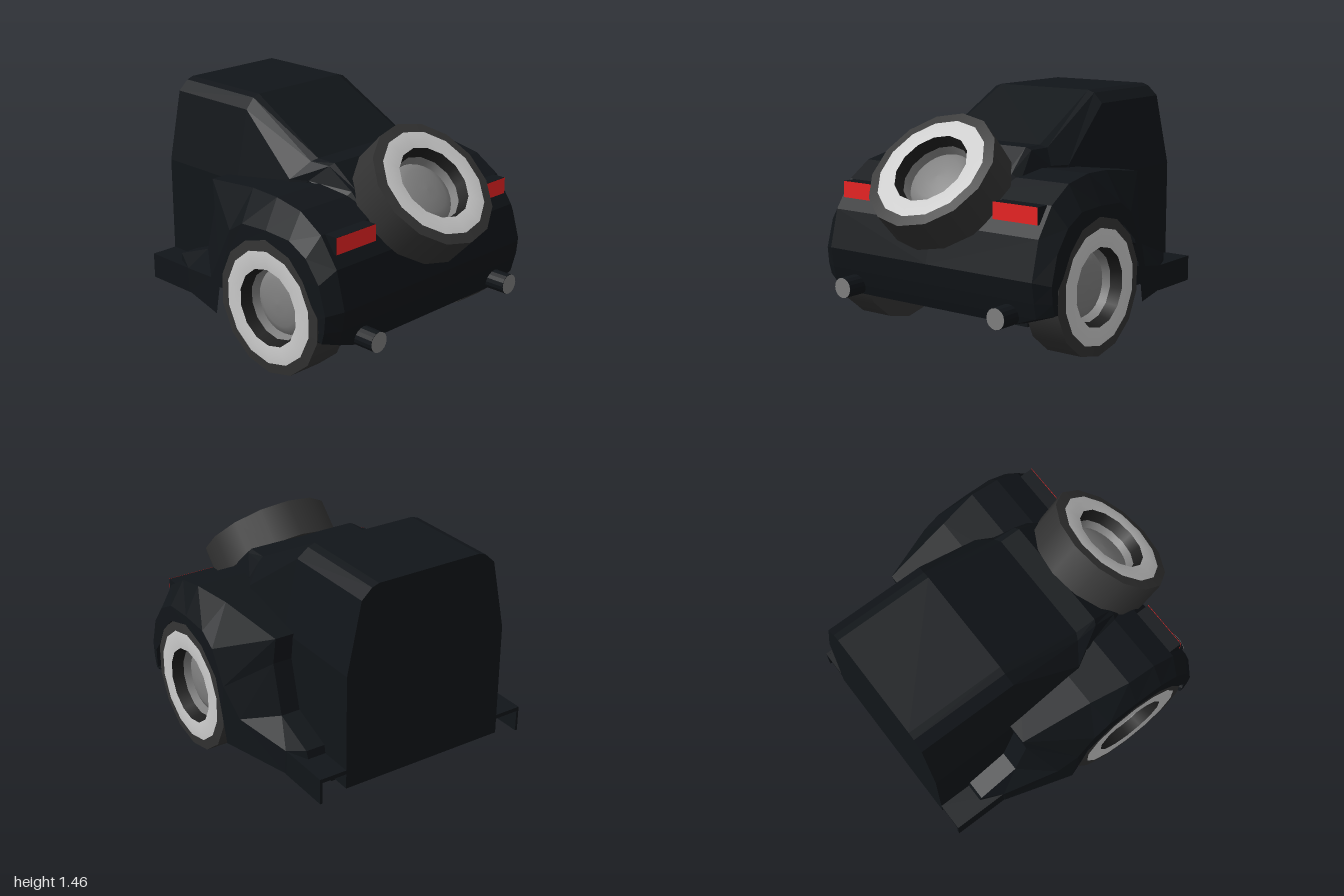
import * as THREE from 'three';

const mat = (color, flatShading = true) =>
  new THREE.MeshStandardMaterial({ color, flatShading, side: THREE.DoubleSide });
const BODY = mat(0x111519), TYRE = mat(0x333333, false), WHITE = mat(0xe0e0e0, false);
const RIM = mat(0x1c1c1c, false), METAL = mat(0x808080, false), RED = mat(0xea2424);

function add(parent, name, geometry, material, x = 0, y = 0, z = 0) {
  const mesh = new THREE.Mesh(geometry, material);
  mesh.name = name;
  mesh.position.set(x, y, z);
  parent.add(mesh);
  return mesh;
}

// Skin over rows of [x, y, z] points, all rows of equal length
function loft(rows, caps = false) {
  const n = rows[0].length, index = [];
  for (let i = 0; i < rows.length - 1; i++)
    for (let j = 0; j < n - 1; j++) {
      const a = i * n + j, b = a + n;
      index.push(a, a + 1, b, a + 1, b + 1, b);
    }
  if (caps) {
    const last = (rows.length - 1) * n;
    for (let j = 1; j < n - 1; j++) index.push(0, j + 1, j, last, last + j, last + j + 1);
  }
  const g = new THREE.BufferGeometry();
  g.setAttribute('position', new THREE.Float32BufferAttribute(rows.flat(2), 3));
  g.setIndex(index);
  g.computeVertexNormals();
  return g;
}

// Wheel with its axle along +y and its outer face up
function makeWheel(name) {
  const wheel = new THREE.Group();
  wheel.name = name;
  const band = (part, material, pts, sides = 14) => {
    const g = new THREE.LatheGeometry(pts.map(p => new THREE.Vector2(...p)), sides);
    add(wheel, part, g.rotateY(Math.PI / 2), material);
  };
  band('tyreBack', TYRE, [[0, -0.13], [0.25, -0.13], [0.408, -0.117]]);
  band('tyreTread', TYRE, [[0.408, -0.117], [0.408, 0.114]]);
  band('tyreSidewall', TYRE, [[0.408, 0.114], [0.345, 0.122]]);
  band('whitewall', WHITE, [[0.345, 0.122], [0.29, 0.126], [0.235, 0.12]]);
  band('rimLip', RIM, [[0.235, 0.12], [0.215, 0.05]]);
  band('rimWall', METAL, [[0.215, 0.05], [0.2, -0.01]], 28);
  band('hubcap', METAL, [[0.2, -0.01], [0.185, 0.012], [0.14, 0.03], [0.07, 0.042], [0, 0.045]], 28);
  return wheel;
}

export function createModel() {
  const car = new THREE.Group();
  car.name = 'carRear';

  // Cabin and tapering boot: half sections from sill to roof as [x, y, z]
  const sections = [
    [[0.535, 0.24, -1], [0.535, 0.95, -1], [0.445, 1.38, -1], [0.38, 1.44, -1], [0.335, 1.455, -1]],
    [[0.535, 0.24, -0.37], [0.535, 0.95, -0.37], [0.445, 1.38, -0.37], [0.38, 1.44, -0.38], [0.335, 1.455, -0.38]],
    [[0.525, 0.24, 0.05], [0.525, 0.95, 0.05], [0.505, 1.06, 0.06], [0.4, 1.16, 0.13], [0.36, 1.175, 0.15]],
    [[0.45, 0.24, 0.14], [0.45, 0.95, 0.14], [0.45, 1.06, 0.16], [0.39, 1.16, 0.27], [0.36, 1.175, 0.285]],
    [[0.44, 0.24, 0.41], [0.44, 0.94, 0.41], [0.42, 1, 0.41], [0.37, 1.04, 0.43], [0.34, 1.045, 0.43]],
    [[0.42, 0.24, 0.57], [0.42, 0.8, 0.57], [0.39, 0.85, 0.57], [0.36, 0.89, 0.57], [0.33, 0.9, 0.57]],
  ];
  const rings = sections.map(half => {
    const ring = [...half, ...half.map(([x, y, z]) => [-x, y, z]).reverse()];
    return [...ring, ring[0]];
  });
  add(car, 'cabin', loft(rings, true), BODY);
  add(car, 'floor', new THREE.BoxGeometry(1.07, 0.05, 0.72), BODY, 0, 0.23, -0.49);
  add(car, 'rearFloor', new THREE.BoxGeometry(1.18, 0.04, 0.7), BODY, 0, 0.225, 0.22);

  // Fender rows, nose to tail: ridge, shoulder and wheel-arch edge as [x, y, z]
  const fender = [
    [[0.65, 0.36, -0.79], [0.705, 0.34, -0.66], [0.71, 0.21, -0.65]],
    [[0.655, 0.41, -0.78], [0.71, 0.36, -0.65], [0.715, 0.21, -0.64]],
    [[0.655, 0.51, -0.52], [0.81, 0.43, -0.31], [0.85, 0.235, -0.22]],
    [[0.655, 0.81, -0.44], [0.845, 0.6, -0.19], [0.855, 0.42, -0.18]],
    [[0.65, 0.975, -0.46], [0.85, 0.8, -0.08], [0.855, 0.63, -0.12]],
    [[0.715, 1.04, -0.02], [0.85, 0.87, 0.03], [0.855, 0.77, 0.04]],
    [[0.76, 1.055, 0.23], [0.85, 0.88, 0.23], [0.855, 0.825, 0.23]],
    [[0.76, 1.02, 0.42], [0.85, 0.87, 0.42], [0.855, 0.77, 0.42]],
    [[0.76, 0.92, 0.58], [0.85, 0.8, 0.55], [0.855, 0.66, 0.53]],
    [[0.76, 0.75, 0.7], [0.85, 0.67, 0.65], [0.855, 0.53, 0.6]],
    [[0.76, 0.52, 0.76], [0.85, 0.5, 0.7], [0.855, 0.47, 0.65]],
    [[0.76, 0.4, 0.74], [0.85, 0.4, 0.69], [0.855, 0.39, 0.65]],
    [[0.76, 0.31, 0.72], [0.85, 0.33, 0.67], [0.855, 0.34, 0.645]],
    [[0.59, 0.25, 0.7], [0.83, 0.32, 0.66], [0.85, 0.33, 0.64]],
    [[0.59, 0.23, 0.57], [0.59, 0.23, 0.57], [0.59, 0.23, 0.57]],
  ];

  for (const s of [1, -1]) {
    const side = s > 0 ? 'left' : 'right';

    // Rear panel half and fender in one skin; the front rows end at the cabin
    const rows = fender.map((r, i) => {
      const [, y, z] = r[0];
      return [[i < 5 ? 0.5 : 0, y, z], ...r].map(([x, py, pz]) => [s * x, py, pz]);
    });
    add(car, side + 'Fender', loft(rows), BODY);

    // Running board with a down-turned lip
    add(car, side + 'RunningBoard', new THREE.BoxGeometry(0.175, 0.025, 0.36), BODY, s * 0.6175, 0.347, -0.82);
    add(car, side + 'RunningBoardLip', new THREE.BoxGeometry(0.015, 0.16, 0.36), BODY, s * 0.7, 0.28, -0.82);

    // Tail light
    add(car, side + 'LightHousing', new THREE.BoxGeometry(0.31, 0.1, 0.1), BODY, s * 0.575, 0.87, 0.615);
    add(car, side + 'LightLens', new THREE.PlaneGeometry(0.31, 0.1), RED, s * 0.575, 0.87, 0.668);

    // Exhaust pipe with a bright end
    const pipe = new THREE.CylinderGeometry(0.062, 0.062, 0.21, 16).rotateX(Math.PI / 2);
    add(car, side + 'Exhaust', pipe, BODY, s * 0.58, 0.31, 0.743);
    add(car, side + 'ExhaustEnd', new THREE.CircleGeometry(0.062, 16), METAL, s * 0.58, 0.31, 0.85);

    // Road wheel
    const wheel = makeWheel(side + 'Wheel');
    wheel.position.set(s * 0.728, 0.408, 0.23);
    wheel.rotation.z = -s * Math.PI / 2;
    car.add(wheel);
  }

  // Spare wheel leaning on the boot
  const spare = makeWheel('spareWheel');
  spare.position.set(0.01, 0.99, 0.634);
  spare.rotation.set(Math.PI / 4, -Math.PI / 2, 0);
  car.add(spare);

  return car;
}
